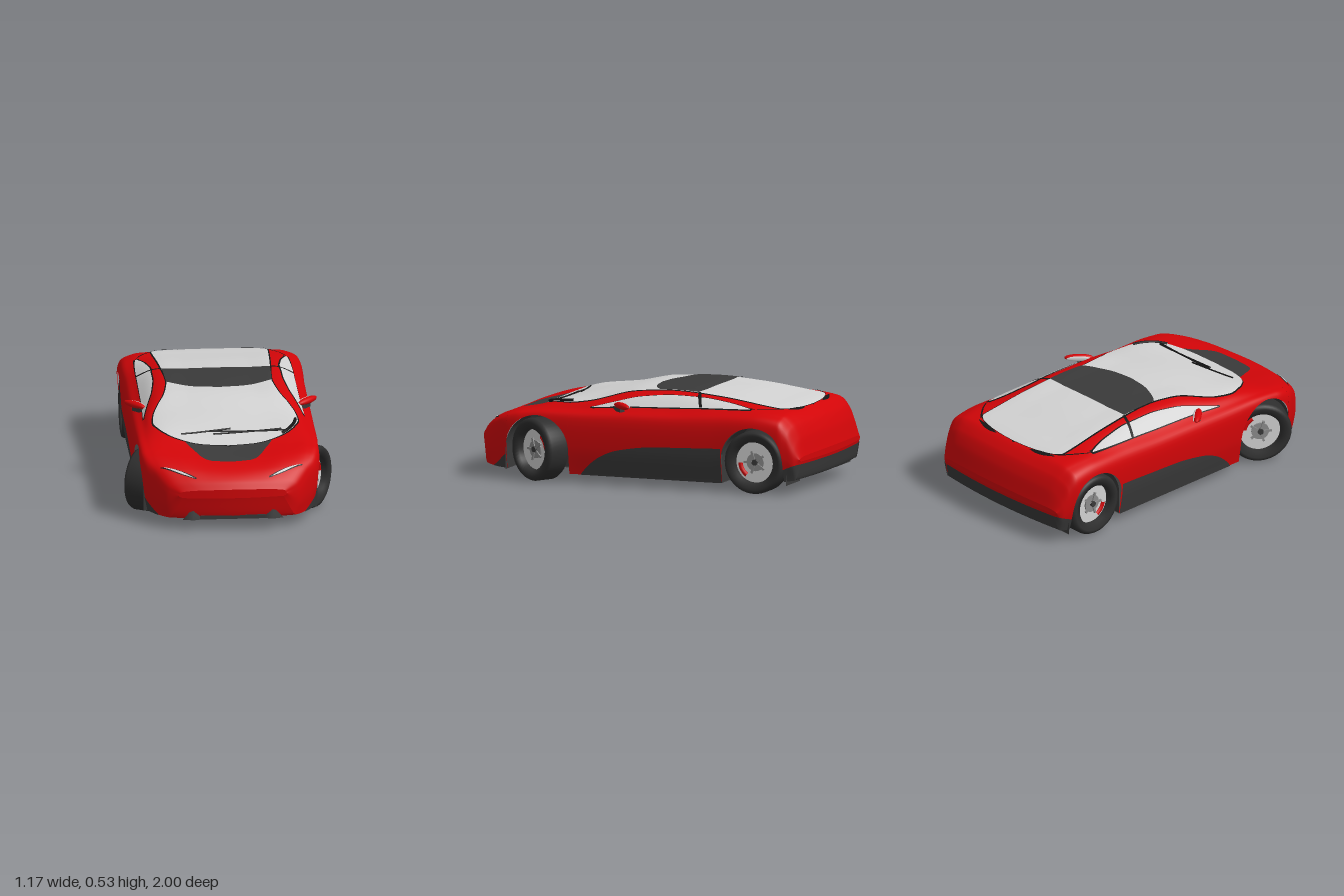
import * as THREE from 'three';

const { lerp, clamp, smoothstep } = THREE.MathUtils;
const mat = (name, color, side = THREE.FrontSide) => {
  const m = new THREE.MeshStandardMaterial({ color, side });
  m.name = name;
  return m;
};

// Monotone cubic interpolation through [key, value] pairs sorted by rising key
function curve(keys) {
  const n = keys.length;
  const d = keys.slice(1).map((k, i) => (k[1] - keys[i][1]) / (k[0] - keys[i][0]));
  const m = keys.map((_, i) => i === 0 ? d[0] : i === n - 1 ? d[n - 2]
    : d[i - 1] * d[i] <= 0 ? 0 : 2 * d[i - 1] * d[i] / (d[i - 1] + d[i]));
  return (z) => {
    if (z <= keys[0][0]) return keys[0][1];
    if (z >= keys[n - 1][0]) return keys[n - 1][1];
    let i = 0;
    while (z > keys[i + 1][0]) i++;
    const h = keys[i + 1][0] - keys[i][0], t = (z - keys[i][0]) / h, t2 = t * t, t3 = t2 * t;
    return (2 * t3 - 3 * t2 + 1) * keys[i][1] + (t3 - 2 * t2 + t) * h * m[i]
      + (3 * t2 - 2 * t3) * keys[i + 1][1] + (t3 - t2) * h * m[i + 1];
  };
}

// Cross-sections: z, then [width, bottom x, bottom y, shoulder y, belt x, belt y, roof x, roof edge y, centre y]
const sections = [
  [-1, [.45, .43, .19, .205, .40, .215, .30, .22, .225]],
  [-.97, [.475, .45, .085, .26, .41, .31, .33, .325, .33]],
  [-.93, [.49, .46, .08, .33, .42, .38, .33, .393, .398]],
  [-.86, [.505, .47, .07, .38, .43, .43, .33, .442, .445]],
  [-.7, [.51, .48, .055, .39, .445, .445, .33, .467, .47]],
  [-.45, [.505, .48, .05, .38, .445, .443, .335, .497, .504]],
  [-.2, [.505, .48, .05, .372, .445, .433, .335, .511, .517]],
  [.05, [.505, .48, .05, .37, .445, .427, .345, .5, .509]],
  [.3, [.505, .48, .05, .365, .45, .413, .385, .45, .47]],
  [.5, [.505, .485, .05, .365, .45, .406, .36, .43, .428]],
  [.68, [.50, .48, .06, .355, .44, .387, .33, .389, .376]],
  [.8, [.475, .45, .06, .315, .42, .354, .30, .362, .35]],
  [.9, [.43, .41, .06, .275, .39, .318, .28, .327, .32]],
  [.97, [.37, .35, .065, .22, .34, .26, .25, .275, .28]],
  [1, [.30, .28, .19, .21, .28, .225, .20, .235, .24]],
];
const columns = sections[0][1].map((_, c) => curve(sections.map(([z, v]) => [z, v[c]])));
const UE = 6 / 7; // u at the centre line; u = 0 is the lower edge
const cache = new Map();
function section(z) {
  if (!cache.has(z)) {
    const [w, xb, yb, ys, xe, ye, xr, yr, yt] = columns.map((f) => f(z));
    const q = lerp(yt, yr, .28);
    const pts = [[xb, yb], [w, (yb + ys) / 2], [w - .004, ys], [xe, ye], [xr, yr], [xr / 2, q], [0, yt], [-xr / 2, q]];
    cache.set(z, new THREE.CatmullRomCurve3(pts.map(([x, y]) => new THREE.Vector3(x, y, 0)), false, 'catmullrom', .5));
  }
  return cache.get(z);
}
const bow = (z) => .3 * smoothstep(z, .75, .95) - .15 * smoothstep(-z, .8, 1);
function surf(u, z) {
  const p = section(z).getPoint(u);
  p.z = z - bow(z) * p.x * p.x;
  return p;
}
function normal(u, z) {
  const e = .004, z0 = Math.max(-1, z - e), z1 = Math.min(1, z + e);
  const du = surf(u + e, z).sub(surf(Math.max(0, u - e), z));
  return du.cross(surf(u, z1).sub(surf(u, z0))).normalize();
}
function solve(lo, hi, above) {
  for (let i = 0; i < 22; i++) { const m = (lo + hi) / 2; if (above(m)) hi = m; else lo = m; }
  return lo;
}
const uAtX = (z, x) => solve(2 / 7, UE, (u) => section(z).getPoint(u).x < x);
const uAtY = (z, y) => solve(0, UE, (u) => section(z).getPoint(u).y > y);

// Grid of quads; the front side is d/da x d/db
function gridIndex(na, nb, base, flip, out) {
  for (let i = 0; i < na; i++) for (let j = 0; j < nb; j++) {
    const a = base + i * (nb + 1) + j, b = a + nb + 1, c = a + 1, d = b + 1;
    if (flip) out.push(a, c, b, b, c, d); else out.push(a, b, c, b, d, c);
  }
}
function makeGeometry(pos, idx, nor) {
  const g = new THREE.BufferGeometry();
  g.setAttribute('position', new THREE.Float32BufferAttribute(pos, 3));
  g.setIndex(idx);
  if (nor) g.setAttribute('normal', new THREE.Float32BufferAttribute(nor, 3));
  else g.computeVertexNormals();
  return g;
}
// Mirrored panel that follows the body; f(s, t) gives [u, z]
function panel(f, ns, nt, off = 0) {
  const pos = [], nor = [], idx = [];
  for (const side of [1, -1]) {
    gridIndex(ns, nt, pos.length / 3, side < 0, idx);
    for (let i = 0; i <= ns; i++) for (let j = 0; j <= nt; j++) {
      const [u, z] = f(i / ns, j / nt), n = normal(u, z), p = surf(u, z).addScaledVector(n, off);
      pos.push(side * p.x, p.y, p.z);
      nor.push(side * n.x, n.y, n.z);
    }
  }
  return makeGeometry(pos, idx, nor);
}
function sheet(f, na, nb) {
  const pos = [], idx = [];
  for (let i = 0; i <= na; i++) for (let j = 0; j <= nb; j++) pos.push(...f(i / na, j / nb));
  gridIndex(na, nb, 0, false, idx);
  return makeGeometry(pos, idx);
}

const ease = (t) => (1 - Math.cos(Math.PI * t)) / 2;
const AXLES = [.58, -.71], HUB = .18, ARCH = .19, ROWS = 150;
const inArch = (z) => AXLES.find((a) => Math.abs(z - a) < ARCH - 1e-6);
const breaks = [-1, -.9, -.52, .39, .77, 1];
function station(row) { // stations gather at the arch ends
  const k = Math.min(4, Math.floor(row / 30));
  return lerp(breaks[k], breaks[k + 1], ease(row / 30 - k));
}

export function createModel() {
  const car = new THREE.Group();
  car.name = 'sportsCar';
  const red = mat('red paint', 0xd20508);
  const dark = mat('dark trim', 0x3a3a3a, THREE.DoubleSide);
  const rubber = mat('tyre rubber', 0x2e2e2e);
  const glass = mat('pale glass', 0xd2d2d2);
  const metal = mat('wheel metal', 0x8c8c8c);
  const black = mat('black', 0x161616);
  const add = (name, geo, m, parent = car) => {
    const mesh = new THREE.Mesh(geo, m);
    mesh.name = name;
    parent.add(mesh);
    return mesh;
  };

  // Body shell with wheel arches
  add('bodyShell', panel((s, t) => {
    const z = station(Math.round(t * ROWS)), a = inArch(z);
    const u0 = a === undefined ? 0 : uAtY(z, HUB + Math.sqrt(ARCH ** 2 - (z - a) ** 2));
    return [lerp(u0, UE, s), z];
  }, 36, ROWS), red);

  // Nose and tail closures, bumper undersides and floor
  const cap = (z) => (s, v) => {
    const p = section(z).getPoint(v * UE), x = (s * 2 - 1) * p.x;
    return [x, p.y, z - bow(z) * x * x];
  };
  add('noseCap', sheet(cap(1), 16, 36), red);
  add('tailCap', sheet((v, s) => cap(-1)(s, v), 36, 16), red);
  const under = (row0, row1) => sheet((s, t) => {
    const z = station(Math.round(lerp(row0, row1, t))), p = section(z).getPoint(0);
    const x = (s * 2 - 1) * (inArch(z) === undefined ? p.x : .27);
    return [x, p.y, z - bow(z) * x * x];
  }, 16, row1 - row0);
  add('rearBumper', under(0, 4), red);
  add('floor', under(4, 142), dark);
  add('frontBumper', under(142, ROWS), red);

  // Wheel wells: arched liner and inner wall
  for (const axle of AXLES) {
    const arch = (t) => {
      const a = lerp(-.25, 1.25, t), th = Math.PI * clamp(a, 0, 1);
      return [HUB + ARCH * Math.sin(th) - .5 * Math.max(0, -a, a - 1), axle - ARCH * Math.cos(th)];
    };
    for (const side of [1, -1]) {
      add('wheelWell', sheet((s, t) => {
        const [y, z] = arch(t);
        return [side * lerp(.27, .482, s), y, z];
      }, 1, 48), dark);
      add('wellWall', sheet((s, t) => {
        const [y, z] = arch(t);
        return [side * .27, lerp(.055, y, s), z];
      }, 1, 48), dark);
    }
  }

  // Canopy: dark surround, glass, roof panel
  const canopy = curve([[-.868, 0], [-.864, .1], [-.85, .21], [-.825, .29], [-.79, .322], [-.6, .315], [-.3, .3], [-.1, .29],
    [0, .3], [.1, .32], [.2, .36], [.3, .39], [.4, .4], [.5, .37], [.57, .32], [.62, .24], [.65, .14], [.66, 0]]);
  const topPanel = (z0, z1, w) => (s, t) => {
    const z = lerp(z0, z1, ease(t));
    return [lerp(uAtX(z, w(z)), UE, s), z];
  };
  add('canopySurround', panel(topPanel(-.874, .666, (z) => canopy(z) + .008), 16, 80, .004), black);
  add('canopyGlass', panel(topPanel(-.868, .66, canopy), 16, 80, .007), glass);
  const roof = curve([[-.31, .3], [-.08, .292], [-.06, .27], [-.02, .2], [.01, .12], [.025, 0]]);
  add('roofPanel', panel(topPanel(-.31, .025, roof), 14, 30, .0095), dark);
  const hood = curve([[.56, .25], [.62, .24], [.7, .2], [.79, .15], [.815, .11], [.825, 0]]);
  add('hoodPanel', panel(topPanel(.57, .825, hood), 12, 24, .003), dark);

  // Side windows with pillar
  const winLow = curve([[-.66, .455], [-.4, .451], [-.2, .443], [.05, .435], [.27, .42]]);
  const winTop = curve([[-.66, .457], [-.5, .482], [-.35, .497], [-.2, .501], [0, .486], [.15, .453], [.27, .422]]);
  const sideStrip = (z0, z1, low, top) => (s, t) => {
    const z = lerp(z0, z1, t);
    return [lerp(uAtY(z, low(z)), uAtY(z, top(z)), s), z];
  };
  add('sideWindowSurround', panel(sideStrip(-.67, .28, (z) => winLow(z) - .004, (z) => winTop(z) + .003), 10, 50, .004), black);
  add('sideWindow', panel(sideStrip(-.66, .27, winLow, winTop), 10, 50, .007), glass);
  add('windowPillar', panel((s, t) => {
    const z = lerp(-.385, -.325, s) + .018 * t;
    return [lerp(uAtY(z, winLow(z)), uAtX(z, .3), s), z];
  }, 12, 2, .0095), black);

  // Seam from each side window to the rear glass, ending in a vent
  add('rearSeam', panel((s, t) => {
    const z = lerp(-.65, -.82, s) + .014 * (t - .5);
    return [uAtX(z, lerp(.42, .31, s ** 1.6)), z];
  }, 16, 2, .005), black);
  add('rearVent', panel((s, t) => {
    const z = lerp(-.835, -.872, Math.sqrt(s)) + .026 * (t - .5) * Math.sin(Math.PI * s);
    return [uAtX(z, lerp(.31, .13, s)), z];
  }, 16, 2, .0085), black);

  // Dark sills, bumper corners, diffuser and door seams
  const sill = curve([[-.57, .09], [-.55, .17], [-.52, .245], [-.3, .238], [-.1, .23], [.1, .2], [.2, .16], [.28, .1], [.32, .055]]);
  const bottom = columns[2];
  add('sidePanel', panel(sideStrip(-.52, .32, bottom, sill), 8, 40, .005), dark);
  add('rearDiffuser', panel(sideStrip(station(4), -.901, bottom, (z) => lerp(.145, .178, (-z - .9) * 10)), 6, 16, .004), dark);
  add('bumperCorner', panel(sideStrip(.775, .91, bottom, (z) => lerp(.14, .065, (z - .775) / .135)), 5, 10, .004), dark);
  add('doorSeam', panel((s, t) => {
    const y = lerp(.41, .07, s), z = .3 + .045 * Math.sin(Math.PI * s) + .005 * t;
    return [uAtY(z, y), z];
  }, 24, 1, .004), black);

  // Headlights
  const lamp = (grow) => (s, t) => {
    const x = lerp(.385 + grow, .21 - grow, s), z = lerp(.885, .955, s) + (t - .5) * (.013 * Math.sin(Math.PI * s) + grow);
    return [uAtX(z, x), z];
  };
  add('headlightSurround', panel(lamp(.008), 16, 3, .003), black);
  add('headlight', panel(lamp(0), 16, 3, .006), glass);

  // Front splitter pieces
  add('splitter', new THREE.BoxGeometry(.36, .022, .03), dark).position.set(0, .074, .963);
  for (const side of [1, -1]) {
    const fin = add('splitterFin', new THREE.ConeGeometry(.06, .066, 4), dark);
    fin.scale.z = .3;
    fin.position.set(side * .22, .094, .966);
  }

  // Wipers and the dark cowl at the windscreen corner
  const onTop = (x, z) => {
    const p = surf(uAtX(z, Math.abs(x)), z);
    return new THREE.Vector3(x < 0 ? -p.x : p.x, p.y + .01, p.z);
  };
  const rod = (name, pts, r) => add(name, new THREE.TubeGeometry(new THREE.CatmullRomCurve3(pts), 20, r, 6), black);
  for (const [x0, z0, x1, z1] of [[-.26, .56, .02, .51], [-.08, .56, .3, .53], [-.1, .535, .32, .545]]) {
    rod('wiper', [0, .25, .5, .75, 1].map((t) => onTop(lerp(x0, x1, t), lerp(z0, z1, t))), .005);
  }
  rod('windscreenCowl', [.58, .54, .5, .45, .4].map((z) => onTop(canopy(z) - .012, z)), .009);

  // Mirrors
  for (const side of [1, -1]) {
    const mirror = new THREE.Group();
    mirror.name = 'wingMirror';
    mirror.position.set(side * .48, .447, .08);
    mirror.rotation.y = side * .85;
    add('mirrorShell', new THREE.SphereGeometry(1, 24, 16), red, mirror).scale.set(.08, .019, .022);
    const face = add('mirrorGlass', new THREE.SphereGeometry(1, 20, 12), glass, mirror);
    face.scale.set(.068, .015, .007);
    face.position.z = -.018;
    const arm = add('mirrorArm', new THREE.BoxGeometry(.085, .024, .028), dark, mirror);
    arm.position.set(-.035 * side, -.022, 0);
    car.add(mirror);
  }

  // Wheels; the front pair is steered
  const tyre = [[.115, -.058], [.15, -.07], [.166, -.066], [.175, -.05], [.175, .05], [.166, .066], [.15, .07], [.115, .058], [.115, -.058]]
    .map(([r, y]) => new THREE.Vector2(r, y));
  for (const axle of AXLES) for (const side of [1, -1]) {
    const front = axle > 0, wheel = new THREE.Group();
    wheel.name = front ? 'frontWheel' : 'rearWheel';
    wheel.position.set(side * (front ? .443 : .43), .175, axle);
    wheel.rotation.y = front ? -Math.PI / 6 : 0;
    const spin = new THREE.Group(); // local +y points outward
    spin.name = 'wheelParts';
    spin.rotation.z = -side * Math.PI / 2;
    wheel.add(spin);
    add('tyre', new THREE.LatheGeometry(tyre, 48), rubber, spin);
    add('rimDisc', new THREE.CylinderGeometry(.114, .114, .06, 40), glass, spin).position.y = -.002;
    add('brakeDisc', new THREE.CylinderGeometry(.05, .05, .01, 32), metal, spin).position.y = .031;
    add('hub', new THREE.CylinderGeometry(.016, .02, .03, 20), dark, spin).position.y = .034;
    for (let i = 0; i < 5; i++) {
      const a = i * Math.PI * 2 / 5;
      const spoke = add('spoke', new THREE.BoxGeometry(.012, .01, .05), metal, spin);
      spoke.position.set(Math.sin(a) * .04, .038, Math.cos(a) * .04);
      spoke.rotation.y = a;
    }
    const caliper = add('brakeCaliper', new THREE.TorusGeometry(.09, .014, 8, 14, .9), red, spin);
    caliper.rotation.set(Math.PI / 2, 0, front ? (side > 0 ? 3.7 : -1.4) : (side > 0 ? .6 : 1.8));
    caliper.position.y = .026;
    add('axleStub', new THREE.CylinderGeometry(.035, .035, .12, 16), dark, spin).position.y = -.09;
    car.add(wheel);
  }
  return car;
}
